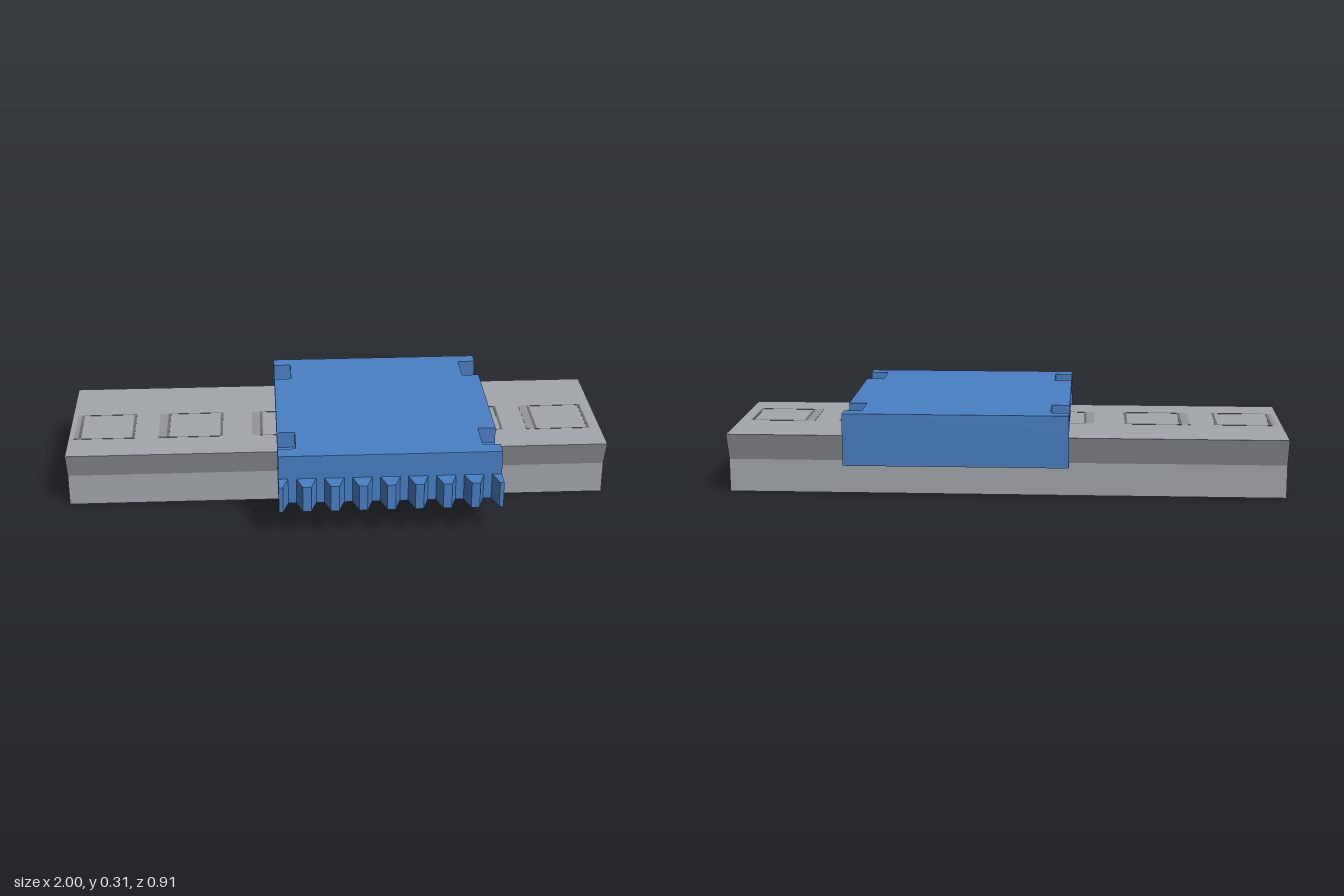
import * as THREE from 'three';

const grey = new THREE.MeshStandardMaterial({ color: 0xa3a6ab });
grey.name = 'rail grey';
const slotGrey = new THREE.MeshStandardMaterial({ color: 0x6c6f74 });
slotGrey.name = 'slot grey';
const shadeGrey = new THREE.MeshStandardMaterial({ color: 0x93969b });
shadeGrey.name = 'recess grey';
const blue = new THREE.MeshStandardMaterial({ color: 0x4a80c4 });
blue.name = 'carriage blue';
const navy = new THREE.MeshStandardMaterial({ color: 0x243f66 });
navy.name = 'pad navy';
const green = new THREE.MeshStandardMaterial({ color: 0x669c66 });
green.name = 'board green';

function makeMesh(name, geometry, material) {
  const mesh = new THREE.Mesh(geometry, material);
  mesh.name = name;
  return mesh;
}

// Box given by its limits on each axis
function block(name, material, [x0, x1], [y0, y1], [z0, z1]) {
  const geo = new THREE.BoxGeometry(x1 - x0, y1 - y0, z1 - z0);
  geo.translate((x0 + x1) / 2, (y0 + y1) / 2, (z0 + z1) / 2);
  return makeMesh(name, geo, material);
}

// Section of [z, y] points swept along x
function sweepX(points, x0, x1, hole) {
  const toV = ([z, y]) => new THREE.Vector2(-z, y);
  const shape = new THREE.Shape(points.map(toV));
  if (hole) shape.holes.push(new THREE.Path(hole.map(toV)));
  const geo = new THREE.ExtrudeGeometry(shape, { depth: x1 - x0, bevelEnabled: false });
  return geo.rotateY(Math.PI / 2).translate(x0, 0, 0);
}

// Plan outline of [x, z] points raised along y
function raiseY(points, y0, y1) {
  const shape = new THREE.Shape(points.map(([x, z]) => new THREE.Vector2(x, -z)));
  const geo = new THREE.ExtrudeGeometry(shape, { depth: y1 - y0, bevelEnabled: false });
  return geo.rotateX(-Math.PI / 2).translate(0, y0, 0);
}

function createRail() {
  const rail = new THREE.Group();
  rail.name = 'rail';

  // Dovetail body with a cable channel through its length
  const section = [[0.135, 0], [-0.365, 0], [-0.365, 0.12], [-0.405, 0.22], [0.175, 0.22], [0.135, 0.12]];
  const channel = [[-0.18, 0.013], [-0.325, 0.013], [-0.325, 0.18], [-0.17, 0.18], [-0.17, 0.12], [-0.18, 0.12]];
  rail.add(makeMesh('railBody', sweepX(section, -1, 1, channel), grey));

  // Circuit strip seated in the step of the channel wall
  rail.add(block('circuitStrip', green, [-0.99, 0.99], [0.12, 0.165], [-0.176, -0.17]));

  // Outlined sensor windows along the top
  for (const cx of [-0.86, -0.53, -0.18, 0.18, 0.525, 0.855]) {
    const y = [0.218, 0.221];
    for (const side of [-1, 1]) {
      const x = cx + side * 0.1;
      rail.add(block('windowEndSlot', slotGrey, [x - 0.005, x + 0.005], y, [-0.165, 0.035]));
      const z = side < 0 ? -0.165 : 0.035;
      rail.add(block('windowSideSlot', slotGrey, [cx - 0.105, cx + 0.105], y, [z - 0.002, z + 0.002]));
    }
    const inset = cx < -0.8 ? 0.015 : 0.03;
    rail.add(block('windowRecess', shadeGrey, [cx - 0.105 - inset, cx - 0.105], y, [-0.165, 0.035]));
  }
  return rail;
}

function createCarriage() {
  const carriage = new THREE.Group();
  carriage.name = 'carriage';
  const x0 = -0.225, x1 = 0.575;

  // Lower body hooking around the dovetail
  const section = [
    [0.39, 0.25], [0.39, 0.122], [0.145, 0.122], [0.182, 0.22], [0.182, 0.237],
    [-0.415, 0.237], [-0.415, 0.22], [-0.375, 0.122], [-0.455, 0.122], [-0.455, 0.25],
  ];
  carriage.add(makeMesh('carriageBody', sweepX(section, x0, x1), blue));

  // Top plate with four side notches
  const n = 0.065;
  const plate = [
    [x0, 0.39], [x1, 0.39],
    [x1, 0.33], [x1 - n, 0.33], [x1 - n, 0.2], [x1, 0.2],
    [x1, -0.27], [x1 - n, -0.27], [x1 - n, -0.4], [x1, -0.4],
    [x1, -0.455], [x0, -0.455],
    [x0, -0.4], [x0 + n, -0.4], [x0 + n, -0.27], [x0, -0.27],
    [x0, 0.2], [x0 + n, 0.2], [x0 + n, 0.33], [x0, 0.33],
  ];
  carriage.add(makeMesh('topPlate', raiseY(plate, 0.25, 0.31), blue));

  // Front rack teeth, with a half tooth at each end
  for (let i = 0; i <= 8; i++) {
    const x = x0 + i * 0.1;
    const left = i === 0 ? 0 : 1, right = i === 8 ? 0 : 1;
    const tooth = [
      [x - 0.036 * left, 0.388], [x - 0.015 * left, 0.455],
      [x + 0.015 * right, 0.455], [x + 0.036 * right, 0.388],
    ];
    carriage.add(makeMesh('rackTooth', raiseY(tooth, 0.122, 0.22), blue));
  }

  // Sliding pad between carriage and rail
  carriage.add(block('slidingPad', navy, [-0.215, 0.565], [0.222, 0.238], [-0.155, 0.035]));
  return carriage;
}

export function createModel() {
  const model = new THREE.Group();
  model.name = 'linearSlide';
  model.add(createRail(), createCarriage());
  return model;
}
